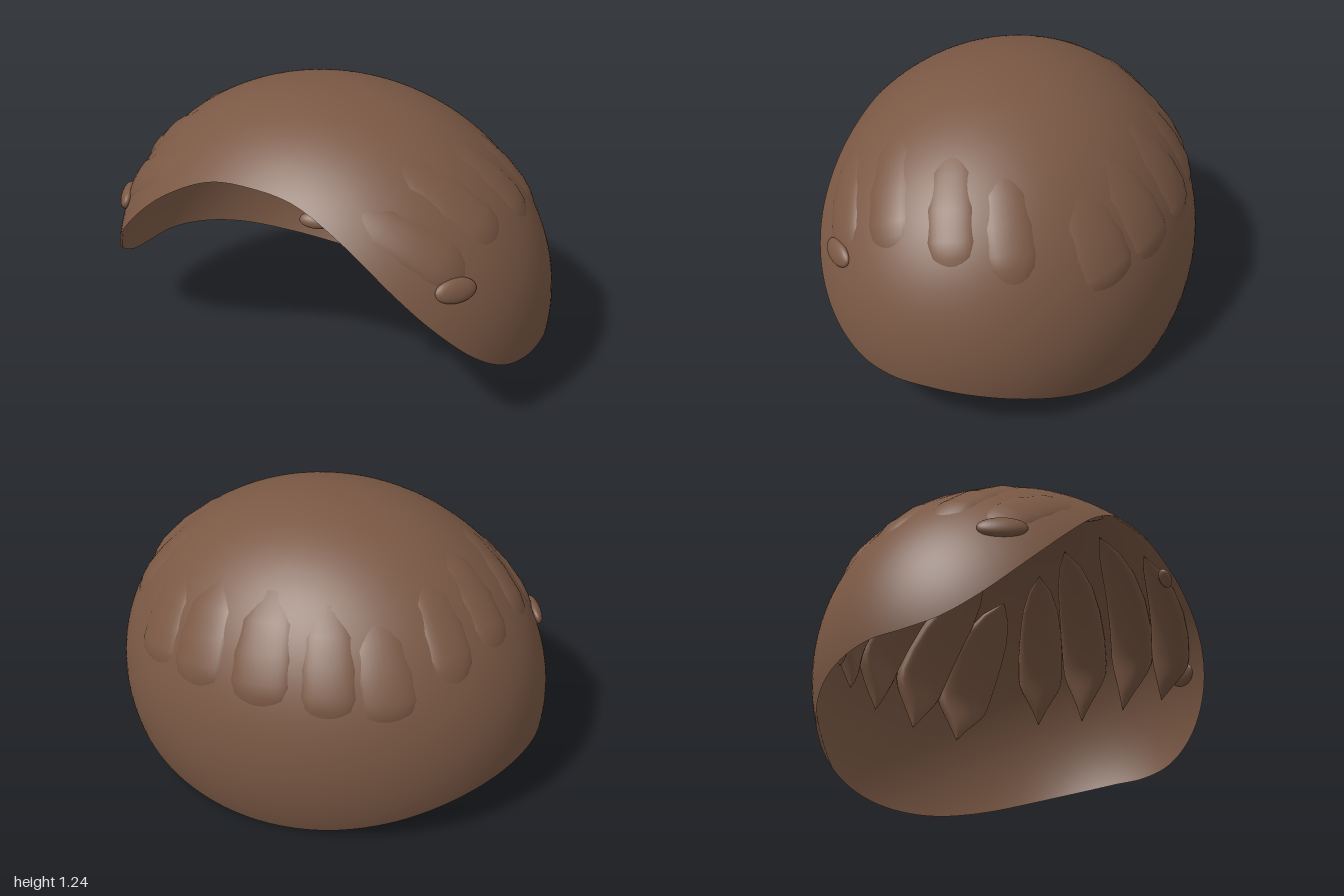
import * as THREE from 'three';

const CENTER = new THREE.Vector3(0, 0.35, 0.12);
const RADII = new THREE.Vector3(1, 0.885, 0.85);
const V = (x, y, z) => new THREE.Vector3(x, y, z);
const toUnit = (p) => V(...p).sub(CENTER).divide(RADII);

// Great-circle step between two unit directions
function slerp(from, to, t) {
  const angle = from.angleTo(to);
  return from.clone().multiplyScalar(Math.sin((1 - t) * angle))
    .addScaledVector(to, Math.sin(t * angle)).normalize();
}

// Domed cap: arcs swept over an ellipsoid from the crown down to a curved rim
function capGeometry() {
  const half = [
    [0.2, 0.965, 0.72], [0.42, 0.85, 0.72], [0.62, 0.68, 0.69], [0.76, 0.54, 0.63],
    [0.89, 0.38, 0.5], [0.96, 0.285, 0.35], [0.985, 0.255, 0.2], [0.98, 0.25, 0.03],
    [0.92, 0.22, -0.17], [0.8, 0.175, -0.33], [0.6, 0.105, -0.48], [0.35, 0.035, -0.6],
  ];
  const rimPoints = [
    [0, 0.985, 0.72], ...half, [0, 0, -0.66],
    ...half.slice().reverse().map(([x, y, z]) => [-x, y, z]),
  ].map((p) => toUnit(p).normalize());
  const rim = new THREE.CatmullRomCurve3(rimPoints, true);
  const crown = V(0, 0.96, -0.28).normalize();
  const cols = 160, rows = 49, points = [], normals = [], index = [];
  for (let j = 0; j < rows; j++) {
    for (let i = 0; i <= cols; i++) {
      const edge = rim.getPoint((i % cols) / cols).normalize();
      const dir = slerp(crown, edge, j / (rows - 1));
      normals.push(...dir.clone().divide(RADII).normalize().toArray());
      points.push(dir.multiply(RADII).add(CENTER));
      if (j && i) {
        const d = points.length - 1, c = d - 1, b = d - cols - 1, a = b - 1;
        index.push(a, c, b, b, c, d);
      }
    }
  }
  const g = new THREE.BufferGeometry().setFromPoints(points);
  g.setAttribute('normal', new THREE.Float32BufferAttribute(normals, 3));
  g.setIndex(index);
  return g;
}

// Pointed lock lining the cap from a start near the crown to a tip hanging inside.
// Rows: [fraction of length, width factor, half thickness]
function lockGeometry(start, tip, halfWidth) {
  const rows = [
    [0, 0.02, 0.003], [0.12, 0.5, 0.025], [0.25, 0.78, 0.037], [0.4, 0.93, 0.045],
    [0.55, 1, 0.05], [0.68, 1, 0.053], [0.74, 0.95, 0.053], [0.79, 0.8, 0.051],
    [0.85, 0.54, 0.045], [0.9, 0.33, 0.035], [0.95, 0.16, 0.02], [1, 0.005, 0.002],
  ];
  const from = toUnit(start).normalize(), to = toUnit(tip);
  const tipInset = to.length();
  to.normalize();
  const cols = 28, points = [], index = [];
  const at = (t) => slerp(from, to, t).multiply(RADII);
  rows.forEach(([t, w, thick], j) => {
    const p = at(t);
    const n = p.clone().divide(RADII).divide(RADII).normalize();
    const side = n.clone().cross(at(t + 0.01).sub(at(t - 0.01))).normalize();
    const inset = THREE.MathUtils.lerp(0.958, tipInset, THREE.MathUtils.smoothstep(t, 0.68, 1));
    p.multiplyScalar(inset).add(CENTER);
    for (let i = 0; i < cols; i++) {
      const a = (i / cols) * Math.PI * 2, s = Math.sin(a);
      points.push(p.clone().addScaledVector(side, halfWidth * w * Math.cos(a))
        .addScaledVector(n, thick * Math.sign(s) * Math.abs(s) ** 0.7));
      if (j) {
        const c = j * cols + i, d = j * cols + (i + 1) % cols;
        index.push(c - cols, d - cols, c, d - cols, d, c);
      }
    }
  });
  const g = new THREE.BufferGeometry().setFromPoints(points);
  g.setIndex(index);
  g.computeVertexNormals();
  return g;
}

export function createModel() {
  const group = new THREE.Group();
  const brown = new THREE.MeshStandardMaterial({ color: 0x7a5844, side: THREE.DoubleSide });
  brown.name = 'hair brown';

  const add = (name, geometry) => {
    const mesh = new THREE.Mesh(geometry, brown);
    mesh.name = name;
    group.add(mesh);
    return mesh;
  };

  add('hairCap', capGeometry());

  // Row of locks at the back, bulging slightly through the cap
  [[-0.57, -0.45, 0.125], [-0.36, -0.56, 0.125], [-0.1, -0.62, 0.14], [0.18, -0.61, 0.14], [0.43, -0.53, 0.14]]
    .forEach(([x, z, w], i) => {
      add('backLock' + (i + 1), lockGeometry([x * 0.75 + 0.08, 1.13, -0.25], [x, 0.42, z], w));
    });

  // Locks swept from the crown and fringe along the inside of each side wall
  const sideLocks = [
    [[0.2, 1.0, 0.64], [0.85, 0.58, 0.38]], [[0.15, 1.15, 0.45], [0.87, 0.58, 0.16]],
    [[0.25, 1.18, 0.2], [0.85, 0.56, -0.06]], [[0.35, 1.15, 0], [0.78, 0.56, -0.27]],
  ];
  for (const [label, sign] of [['left', 1], ['right', -1]]) {
    sideLocks.forEach(([[sx, sy, sz], [tx, ty, tz]], i) => {
      add(label + 'SideLock' + (i + 1), lockGeometry([sign * sx, sy, sz], [sign * tx, ty, tz], 0.11));
    });
  }

  // Small tufts breaking the surface beside and above the face
  const tuft = (name, position, size) => {
    const mesh = add(name, new THREE.SphereGeometry(1, 24, 16));
    mesh.position.set(...position);
    mesh.scale.set(...size);
    mesh.lookAt(mesh.position.clone().sub(CENTER).divide(RADII).divide(RADII).add(mesh.position));
  };
  tuft('leftTuft', [0.81, 0.665, 0.515], [0.09, 0.05, 0.025]);
  tuft('rightTuft', [-0.815, 0.67, 0.515], [0.1, 0.05, 0.03]);
  tuft('frontTuft', [0.29, 0.905, 0.685], [0.07, 0.035, 0.025]);

  return group;
}
